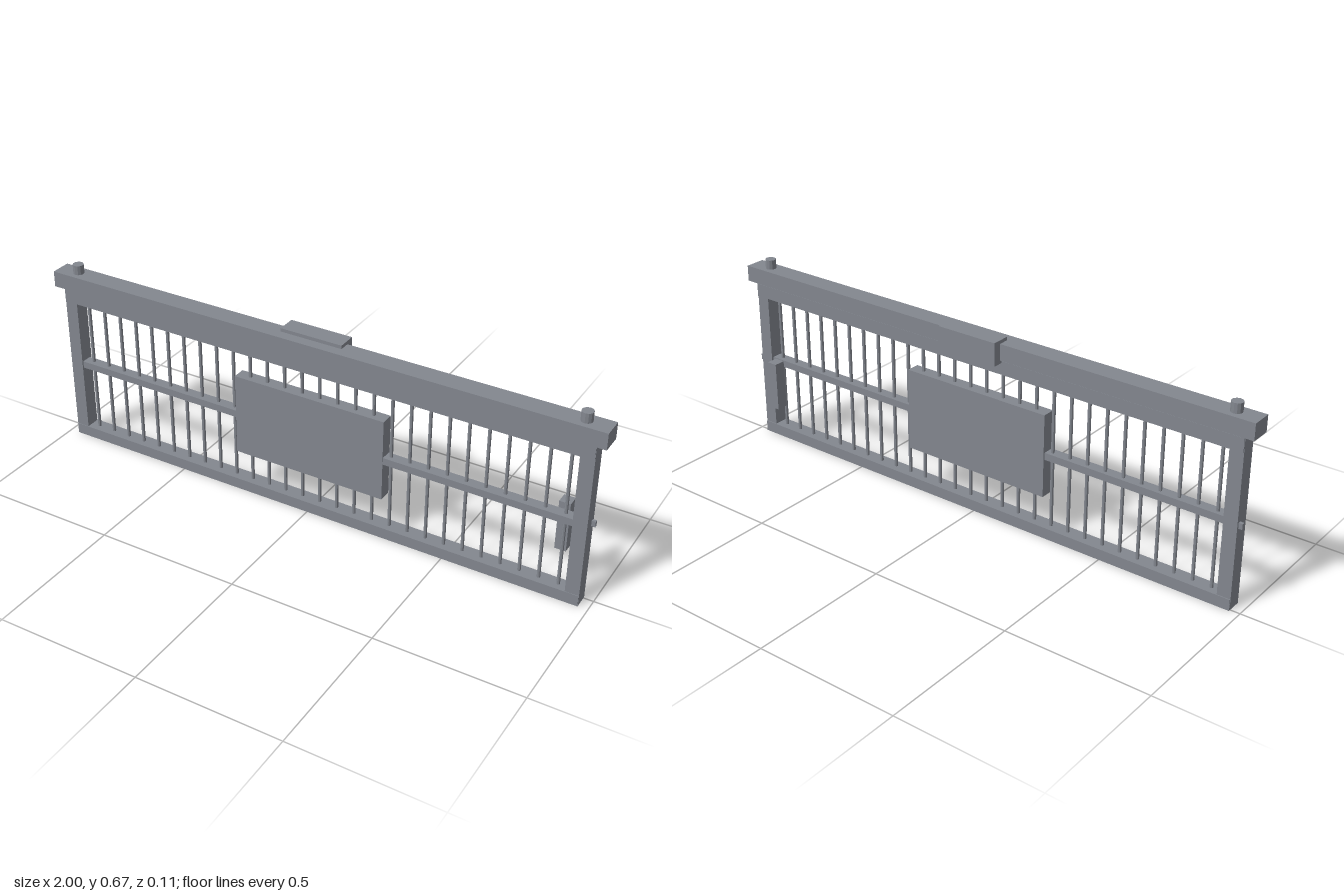
import * as THREE from 'three';

const material = new THREE.MeshStandardMaterial({ color: 0x83878f, flatShading: true });

export function createModel() {
  const group = new THREE.Group();
  group.name = 'barredGate';

  const add = (name, geometry, x, y, z) => {
    const mesh = new THREE.Mesh(geometry, material);
    mesh.name = name;
    mesh.position.set(x, y, z);
    group.add(mesh);
  };

  // Box given by its limits on each axis
  const box = (name, [x0, x1], [y0, y1], [z0, z1]) =>
    add(name, new THREE.BoxGeometry(x1 - x0, y1 - y0, z1 - z0),
      (x0 + x1) / 2, (y0 + y1) / 2, (z0 + z1) / 2);

  const midZ = 0.0205;

  // Frame: top and bottom rails, stiles and middle rail
  box('topRail', [-0.966, 0.966], [0.533, 0.58], [-0.0075, 0.048]);
  box('bottomRail', [-0.966, 0.966], [0, 0.039], [-0.0075, 0.048]);
  box('middleRail', [-0.925, 0.925], [0.28, 0.305], [0.003, 0.041]);

  for (const s of [-1, 1]) {
    const side = s > 0 ? 'left' : 'right';
    const span = (a, b) => (s > 0 ? [a, b] : [-b, -a]);
    box(side + 'Stile', span(0.92, 0.967), [0.001, 0.579], [-0.0045, 0.046]);
    // Small pin on the outer edge
    box(side + 'Pin', span(0.95, 0.98), [0.281, 0.301], [0.0025, 0.0125]);
    // Peg on top of the header
    add(side + 'Peg', new THREE.CylinderGeometry(0.019, 0.019, 0.044, 12), s * 0.92, 0.652, midZ);
  }

  // Vertical bars
  const barCount = 28;
  const barGeometry = new THREE.CylinderGeometry(0.006, 0.006, 0.51, 8);
  for (let i = 0; i < barCount; i++) {
    add('bar', barGeometry, -0.888 + (1.776 * i) / (barCount - 1), 0.286, midZ);
  }

  // Central plate
  box('centrePlate', [-0.277, 0.277], [0.147, 0.439], [-0.003, 0.043]);

  // Header beam with the housing on its back
  box('headerBeam', [-1, 1], [0.585, 0.641], [-0.0155, 0.0565]);
  box('headerHousing', [-0.111, 0.111], [0.573, 0.653], [-0.044, 0.021]);

  // Lock box behind the left end
  box('lockBox', [0.85, 0.888], [0.138, 0.314], [-0.056, -0.016]);

  return group;
}
